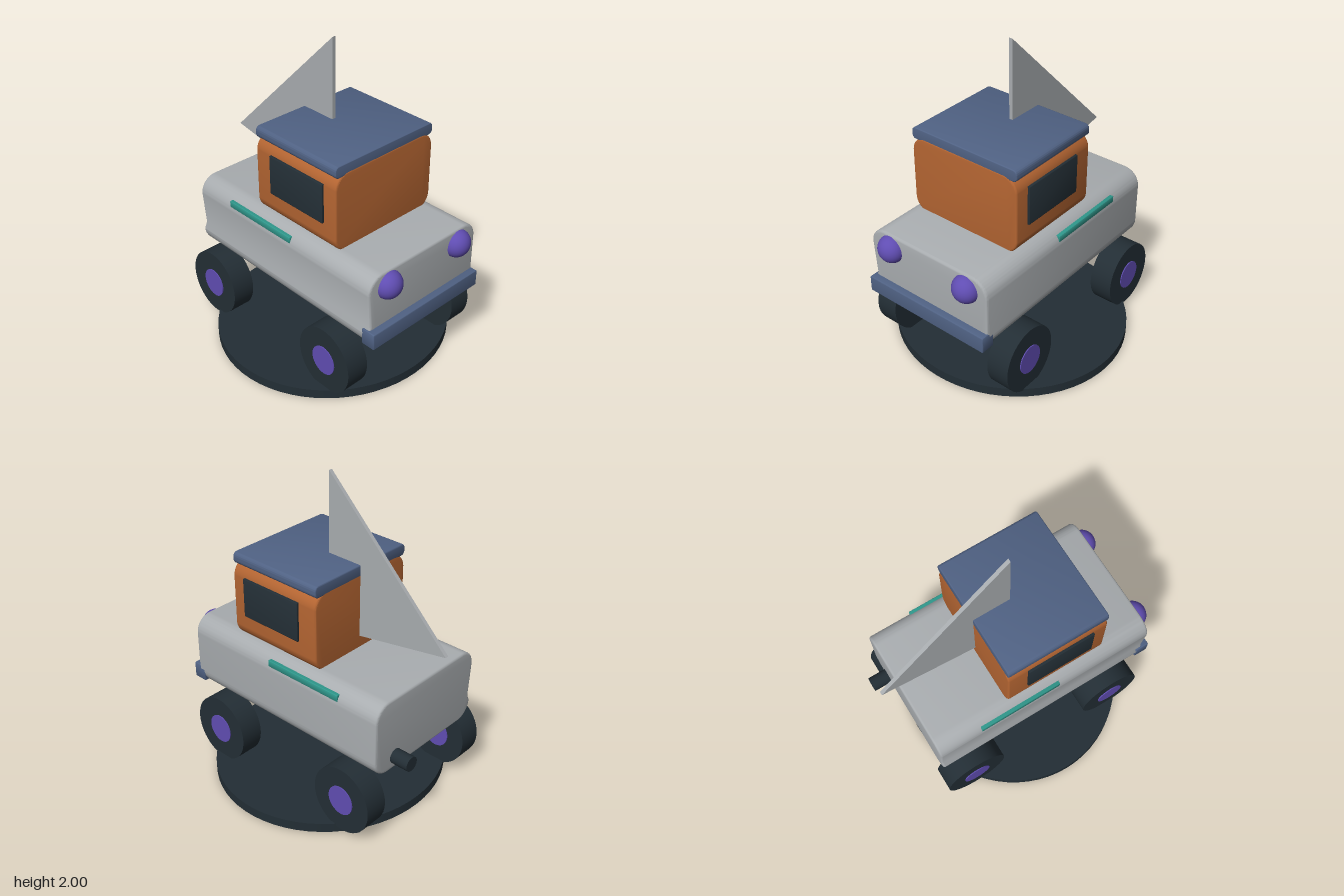
import * as THREE from 'three';
import { toCreasedNormals } from 'three/addons/utils/BufferGeometryUtils.js';

const Z = 0.944; // round parts are slightly squashed front to back

function material(name, color) {
  const m = new THREE.MeshStandardMaterial({ color });
  m.name = name;
  return m;
}

// Outline with rounded corners; dent pulls the -x wall inwards just above its lower corner
function outline(x0, x1, y0, y1, r, dent = 0) {
  const s = new THREE.Shape();
  s.moveTo(x0 + r, y0);
  s.lineTo(x1 - r, y0);
  s.absarc(x1 - r, y0 + r, r, -Math.PI / 2, 0);
  s.lineTo(x1, y1 - r);
  s.absarc(x1 - r, y1 - r, r, 0, Math.PI / 2);
  s.lineTo(x0 + r, y1);
  s.absarc(x0 + r, y1 - r, r, Math.PI / 2, Math.PI);
  if (dent) s.lineTo(x0 + dent, y0 + r + 0.04);
  s.lineTo(x0, y0 + r);
  s.absarc(x0 + r, y0 + r, r, Math.PI, Math.PI * 1.5);
  return s;
}

// Extrusion along z from z0 to z1 with softened end edges
function block(shape, z0, z1, bevel) {
  const g = new THREE.ExtrudeGeometry(shape, {
    depth: z1 - z0 - 2 * bevel,
    bevelEnabled: bevel > 0,
    bevelThickness: bevel,
    bevelSize: bevel,
    bevelOffset: -bevel,
    bevelSegments: 3,
    curveSegments: 10,
  });
  g.translate(0, 0, z0 + bevel);
  return toCreasedNormals(g, 0.6);
}

export function createModel() {
  const model = new THREE.Group();
  const grey = material('body grey', 0xa9adb0);
  const orange = material('cab orange', 0xb46532);
  const blue = material('trim blue', 0x506284);
  const dark = material('dark slate', 0x232e35);
  const purple = material('purple', 0x604db2);
  const teal = material('teal', 0x2f978b);

  function add(name, geometry, mat, x = 0, y = 0, z = 0) {
    const mesh = new THREE.Mesh(geometry, mat);
    mesh.name = name;
    mesh.position.set(x, y, z);
    model.add(mesh);
    return mesh;
  }

  // Round stand
  add('stand', new THREE.CylinderGeometry(0.77, 0.77, 0.062, 64), dark, 0, 0.031, 0.026).scale.z = Z;

  // Body, cab and roof
  add('body', block(outline(-0.448, 0.446, 0.458, 0.943, 0.11, 0.018), -0.725, 0.775, 0.015), grey);
  add('cab', block(outline(-0.39, 0.39, 0.92, 1.432, 0.1), -0.217, 0.452, 0.012), orange);
  add('roof', block(outline(-0.39, 0.388, 1.412, 1.487, 0.028), -0.217, 0.45, 0.006), blue);

  // Tail fin: a triangular plate standing along the centre line
  const finShape = new THREE.Shape();
  finShape.moveTo(-0.027, 0.976);
  finShape.lineTo(0.848, 1.13);
  finShape.lineTo(-0.027, 2);
  const fin = new THREE.ExtrudeGeometry(finShape, { depth: 0.024, bevelEnabled: false });
  fin.translate(0, 0, -0.012);
  fin.rotateY(Math.PI / 2);
  add('fin', fin, grey);

  // Front bumper and exhaust pipe
  add('bumper', block(outline(-0.448, 0.446, 0.487, 0.593, 0.008), 0.725, 0.82, 0.006), blue);
  const pipe = new THREE.CylinderGeometry(0.047, 0.047, 0.245, 24);
  pipe.rotateX(Math.PI / 2);
  add('exhaust', pipe, dark, 0.27, 0.54, -0.7225);

  const wheel = new THREE.CylinderGeometry(0.22, 0.22, 0.152, 40);
  wheel.rotateZ(Math.PI / 2);
  const hub = new THREE.CylinderGeometry(0.096, 0.096, 0.164, 32);
  hub.rotateZ(Math.PI / 2);
  const lamp = new THREE.SphereGeometry(0.088, 32, 20);

  for (const side of [-1, 1]) {
    const label = side > 0 ? 'left' : 'right';

    // Headlights
    add(label + 'Headlight', lamp, purple, side * 0.29, 0.845, 0.768).scale.z = Z;

    // Cab windows and side stripes
    const window = block(outline(-0.01, 0.01, 1.095, 1.348, 0.005), -0.087, 0.356, 0.003);
    add(label + 'Window', window, dark, side * 0.394);
    const stripe = block(outline(-0.014, 0.014, 0.859, 0.903, 0.006), -0.432, 0.121, 0.003);
    add(label + 'Stripe', stripe, teal, side * 0.431);

    // Wheels with hubs showing on both faces
    for (const [end, z] of [['Front', 0.498], ['Rear', -0.54]]) {
      add(label + end + 'Wheel', wheel, dark, side * 0.453, 0.264, z).scale.z = Z;
      add(label + end + 'Hub', hub, purple, side * 0.453, 0.264, z).scale.z = Z;
    }
  }
  return model;
}
